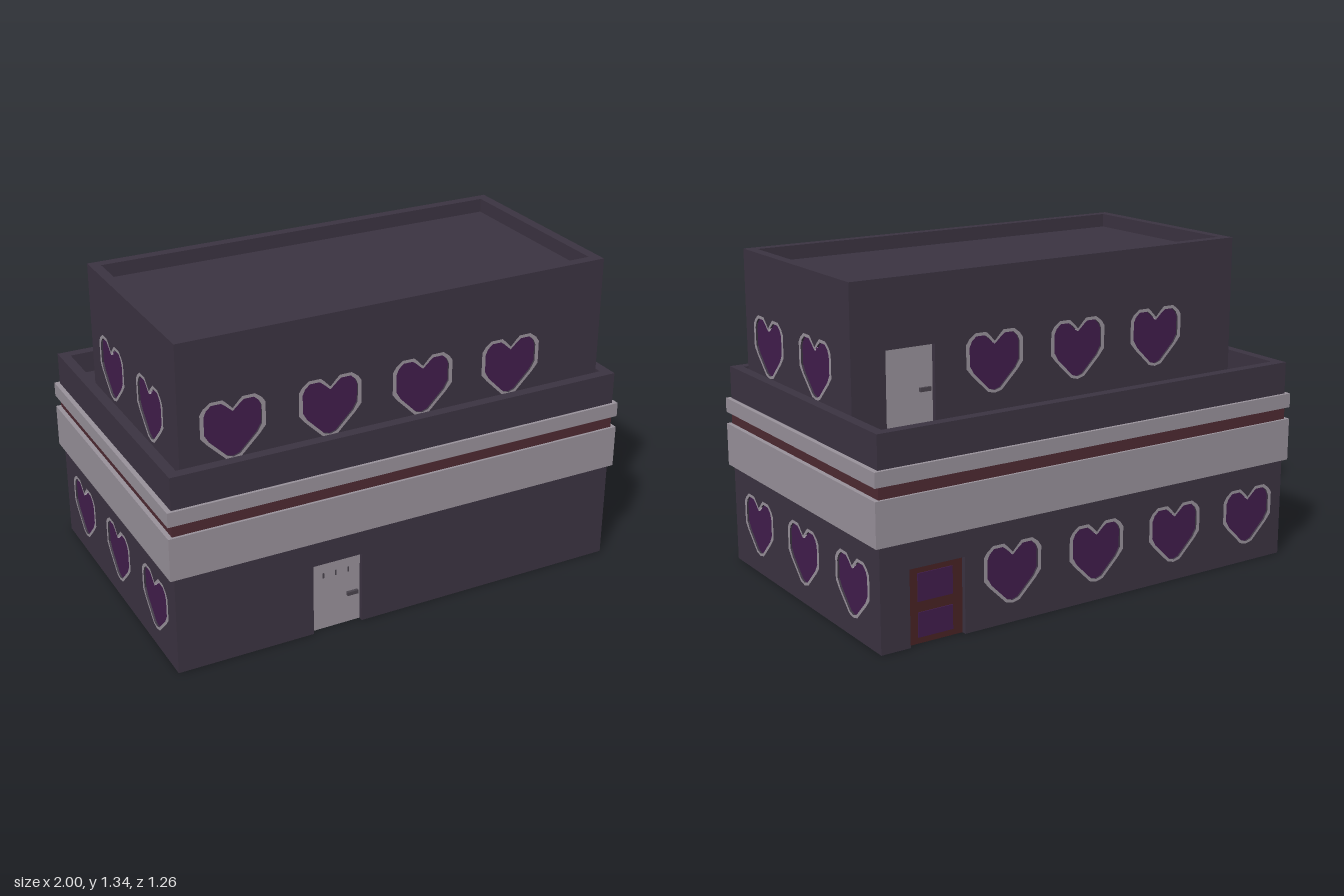
import * as THREE from 'three';

const mat = (name, color) => {
  const m = new THREE.MeshStandardMaterial({ color });
  m.name = name;
  return m;
};

const T = 0.043; // wall thickness
const FLOOR_2 = 0.755;
const DOOR_H = 0.31;

export function createModel() {
  const wallMat = mat('dark plum wall', 0x3b3341);
  const grey = mat('pale grey trim', 0x98919a);
  const red = mat('dark red stripe', 0x4e2a32);
  const purple = mat('purple glass', 0x411d4c);
  const brown = mat('brown wood', 0x472223);
  const dark = mat('dark metal', 0x4a444d);

  const model = new THREE.Group();
  model.name = 'building';

  const add = (parent, name, geo, material, x = 0, y = 0, z = 0) => {
    const mesh = new THREE.Mesh(geo, material);
    mesh.name = name;
    mesh.position.set(x, y, z);
    parent.add(mesh);
    return mesh;
  };
  // Box given by its lower and upper limits
  const block = (parent, name, material, x0, x1, y0, y1, z0, z1) =>
    add(parent, name, new THREE.BoxGeometry(x1 - x0, y1 - y0, z1 - z0), material,
      (x0 + x1) / 2, (y0 + y1) / 2, (z0 + z1) / 2);

  // Angular heart outline, mirrored about its middle
  const heartPoints = (half) => [...half, ...half.slice(1, -1).reverse().map(([x, y]) => [-x, y])]
    .map(([x, y]) => new THREE.Vector2(x, y));
  const outer = heartPoints([[0, 0.287], [0.025, 0.313], [0.04, 0.327], [0.09, 0.327], [0.118, 0.306],
    [0.132, 0.285], [0.132, 0.19], [0.107, 0.16], [0.032, 0.086], [0, 0.078]]);
  const inner = heartPoints([[0, 0.275], [0.03, 0.302], [0.046, 0.314], [0.086, 0.314], [0.106, 0.296],
    [0.116, 0.274], [0.116, 0.2], [0.097, 0.168], [0.026, 0.097], [0, 0.089]]);
  const rimShape = new THREE.Shape(outer);
  rimShape.holes.push(new THREE.Path(inner));
  const rimGeo = new THREE.ExtrudeGeometry(rimShape, { depth: 0.025, bevelEnabled: false });
  const glassGeo = new THREE.ExtrudeGeometry(new THREE.Shape(inner), { depth: 0.009, bevelEnabled: false });

  // Heart window set into its opening, with the rim flush with the wall
  const heartWindow = (face, u, y) => {
    const g = new THREE.Group();
    g.name = 'heartWindow';
    g.position.set(u, y, 0);
    add(g, 'heartRim', rimGeo, grey, 0, 0, -0.025);
    add(g, 'heartGlass', glassGeo, purple, 0, 0, -0.017);
    face.add(g);
  };

  // Recessed door, either plain grey or wooden with two panes
  const door = (face, d, y) => {
    const g = new THREE.Group();
    g.name = 'door';
    g.position.set(d.u, y, -0.02);
    const w = d.width / 2;
    if (d.kind === 'wood') {
      block(g, 'doorSlab', brown, -w, w, 0, DOOR_H, -0.023, 0);
      block(g, 'upperPane', purple, -0.076, 0.076, 0.168, 0.28, 0, 0.004);
      block(g, 'lowerPane', purple, -0.076, 0.076, 0.025, 0.125, 0, 0.004);
    } else {
      block(g, 'doorSlab', grey, -w, w, 0, DOOR_H, -0.023, 0);
      block(g, 'doorHandle', dark, 0.048, 0.096, 0.126, 0.142, 0, 0.012);
      if (d.kind === 'slots') {
        for (const x of [-0.055, 0, 0.055]) {
          block(g, 'doorSlot', dark, x - 0.003, x + 0.003, 0.234, 0.256, 0, 0.003);
        }
      }
    }
    face.add(g);
  };

  // Upright wall behind its face plane, with a doorway notch and heart openings
  const wall = (face, u0, u1, y0, y1, hearts, d) => {
    const s = new THREE.Shape();
    s.moveTo(u0, y0);
    if (d) {
      const a = d.u - d.width / 2, b = d.u + d.width / 2;
      s.lineTo(a, y0);
      s.lineTo(a, y0 + DOOR_H);
      s.lineTo(b, y0 + DOOR_H);
      s.lineTo(b, y0);
    }
    s.lineTo(u1, y0);
    s.lineTo(u1, y1);
    s.lineTo(u0, y1);
    for (const u of hearts) {
      s.holes.push(new THREE.Path(outer.map((p) => new THREE.Vector2(p.x + u, p.y + y0))));
    }
    add(face, 'wall', new THREE.ExtrudeGeometry(s, { depth: T, bevelEnabled: false }), wallMat, 0, 0, -T);
  };

  // A storey: four walls with their openings, a floor and a sunken roof
  const storey = (name, o) => {
    const g = new THREE.Group();
    g.name = name;
    const { w, zf, zb, y0, y1, roof } = o;
    const sides = {
      front: [0, zf, 0, -w, w],
      right: [w, 0, Math.PI / 2, -zf + T, -zb - T],
      back: [0, zb, Math.PI, -w, w],
      left: [-w, 0, -Math.PI / 2, zb + T, zf - T],
    };
    for (const [side, [x, z, turn, u0, u1]] of Object.entries(sides)) {
      const face = new THREE.Group();
      face.name = side + 'Face';
      face.position.set(x, 0, z);
      face.rotation.y = turn;
      const { hearts = [], door: d } = o[side];
      wall(face, u0, u1, y0, y1, hearts, d);
      hearts.forEach((u) => heartWindow(face, u, y0));
      if (d) door(face, d, y0);
      g.add(face);
    }
    block(g, 'floor', wallMat, -w + T, w - T, y0, y0 + 0.02, zb + T, zf - T);
    block(g, 'roof', wallMat, -w + T, w - T, roof - 0.03, roof, zb + T, zf - T);
    model.add(g);
  };

  // Positions along each face run left to right as seen from outside
  storey('lowerStorey', {
    w: 0.98, zf: 0.618, zb: -0.616, y0: 0, y1: 0.845, roof: FLOOR_2,
    front: { door: { u: -0.295, width: 0.215, kind: 'slots' } },
    right: { hearts: [-0.395, 0.005, 0.405] },
    back: { hearts: [-0.398, 0.002, 0.4, 0.795], door: { u: -0.735, width: 0.24, kind: 'wood' } },
    left: { hearts: [-0.395, 0.005, 0.405] },
  });
  storey('upperStorey', {
    w: 0.92, zf: 0.568, zb: -0.323, y0: FLOOR_2, y1: 1.338, roof: 1.28,
    front: { hearts: [-0.702, -0.302, 0.098, 0.498] },
    right: { hearts: [-0.365, 0.037] },
    back: { hearts: [-0.285, 0.115, 0.515], door: { u: -0.665, width: 0.215, kind: 'plain' } },
    left: { hearts: [-0.105, 0.295] },
  });

  // Trim bands around the lower storey
  block(model, 'wideBand', grey, -1, 1, 0.42, 0.6, -0.63, 0.63);
  block(model, 'redStripe', red, -0.981, 0.981, 0.6, 0.65, -0.619, 0.619);
  block(model, 'narrowBand', grey, -1, 1, 0.65, 0.71, -0.63, 0.63);

  return model;
}
